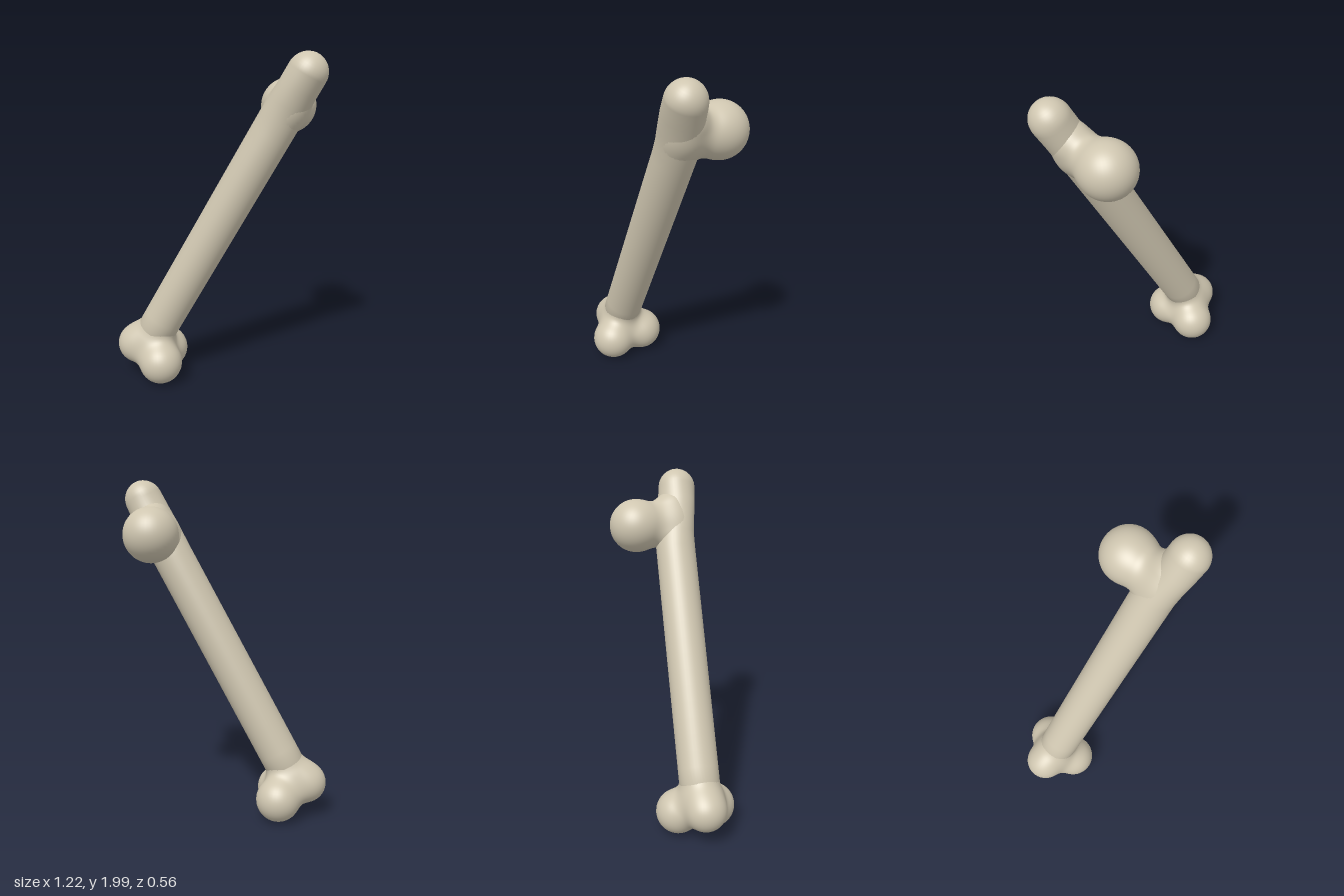
import * as THREE from 'three';
import { mergeVertices } from 'three/addons/utils/BufferGeometryUtils.js';

const v = (x, y, z) => new THREE.Vector3(x, y, z);

// Weld seams and give smooth normals
function smooth(geometry) {
  geometry.deleteAttribute('uv');
  geometry.deleteAttribute('normal');
  const welded = mergeVertices(geometry, 1e-5);
  welded.computeVertexNormals();
  return welded;
}

// Distance to a rounded rod from a to b
function rodDistance(p, { a, b = a, r }) {
  const ab = b.clone().sub(a);
  const t = THREE.MathUtils.clamp(p.clone().sub(a).dot(ab) / (ab.lengthSq() || 1), 0, 1);
  return p.distanceTo(ab.multiplyScalar(t).add(a)) - r;
}

// Rods and balls melted together with blend width k
function blendDistance(p, rods, k) {
  return rods.map((rod) => rodDistance(p, rod)).reduce((d, e) => {
    const h = Math.max(k - Math.abs(d - e), 0);
    return Math.min(d, e) - (h * h) / (4 * k);
  });
}

// A sphere whose vertices are drawn in onto the blended surface
function blendedKnob(center, rods, k) {
  const geometry = new THREE.SphereGeometry(1, 72, 48);
  const pos = geometry.attributes.position;
  const dir = v(0, 0, 0);
  for (let i = 0; i < pos.count; i++) {
    dir.fromBufferAttribute(pos, i).normalize();
    let t = 0.6;
    for (let n = 0; n < 50; n++) {
      t -= 0.8 * blendDistance(dir.clone().multiplyScalar(t).add(center), rods, k);
    }
    dir.multiplyScalar(t).add(center);
    pos.setXYZ(i, dir.x, dir.y, dir.z);
  }
  return smooth(geometry);
}

export function createModel() {
  const model = new THREE.Group();
  model.name = 'bone';
  const ivory = new THREE.MeshStandardMaterial({ name: 'ivory', color: 0xcfc6b0 });
  const add = (name, geometry) => {
    const mesh = new THREE.Mesh(geometry, ivory);
    mesh.name = name;
    model.add(mesh);
  };

  // Shaft axis, from the knee end to the upper tip
  const low = v(-0.39, 0.28, 0.015);
  const high = v(0.495, 1.885, 0.125);
  const axis = high.clone().sub(low);
  const length = axis.length();
  axis.normalize();
  const along = (d) => low.clone().addScaledVector(axis, d);

  // Shaft: a turned rod with a rounded tip, bent slightly forward at the top
  const profile = [[0, 0], [0.09, 0], [0.118, 0.04]];
  for (let i = 1; i <= 16; i++) profile.push([0.118, 0.04 + (i / 16) * (length - 0.34)]);
  profile.push([0.116, length - 0.2], [0.112, length - 0.1]);
  for (let i = 0; i <= 10; i++) {
    const a = (i / 10) * Math.PI / 2;
    profile.push([i === 10 ? 0 : 0.111 * Math.cos(a), length + 0.113 * Math.sin(a)]);
  }
  const shaft = new THREE.LatheGeometry(profile.map(([r, y]) => new THREE.Vector2(r, y)), 40);
  shaft.applyQuaternion(new THREE.Quaternion().setFromUnitVectors(v(0, 1, 0), axis));
  shaft.translate(low.x, low.y, low.z);
  const pos = shaft.attributes.position;
  for (let i = 0; i < pos.count; i++) {
    pos.setZ(i, pos.getZ(i) + 0.045 * THREE.MathUtils.smoothstep(pos.getY(i), 1.6, 1.9));
  }
  add('shaft', smooth(shaft));

  // Knee end: two rear knuckles and a side knob melting into the shaft
  add('kneeKnuckles', blendedKnob(v(-0.39, 0.18, 0.008), [
    { a: v(-0.335, 0.137, 0.113), r: 0.13 },
    { a: v(-0.335, 0.137, -0.1), r: 0.13 },
    { a: v(-0.495, 0.212, 0.01), r: 0.122 },
    { a: low, b: along(0.1), r: 0.113 },
  ], 0.08));

  // Ball head with its neck, flaring into the shaft
  const headCenter = v(0.398, 1.682, -0.12);
  const root = along(length - 0.23).add(v(0, 0, 0.006));
  add('ballHead', blendedKnob(v(0.396, 1.682, -0.015), [
    { a: headCenter, r: 0.155 },
    { a: headCenter, b: v(0.395, 1.69, 0.1), r: 0.103 },
    { a: root.clone().addScaledVector(axis, -0.08), b: root.clone().addScaledVector(axis, 0.1), r: 0.106 },
  ], 0.08));

  return model;
}
